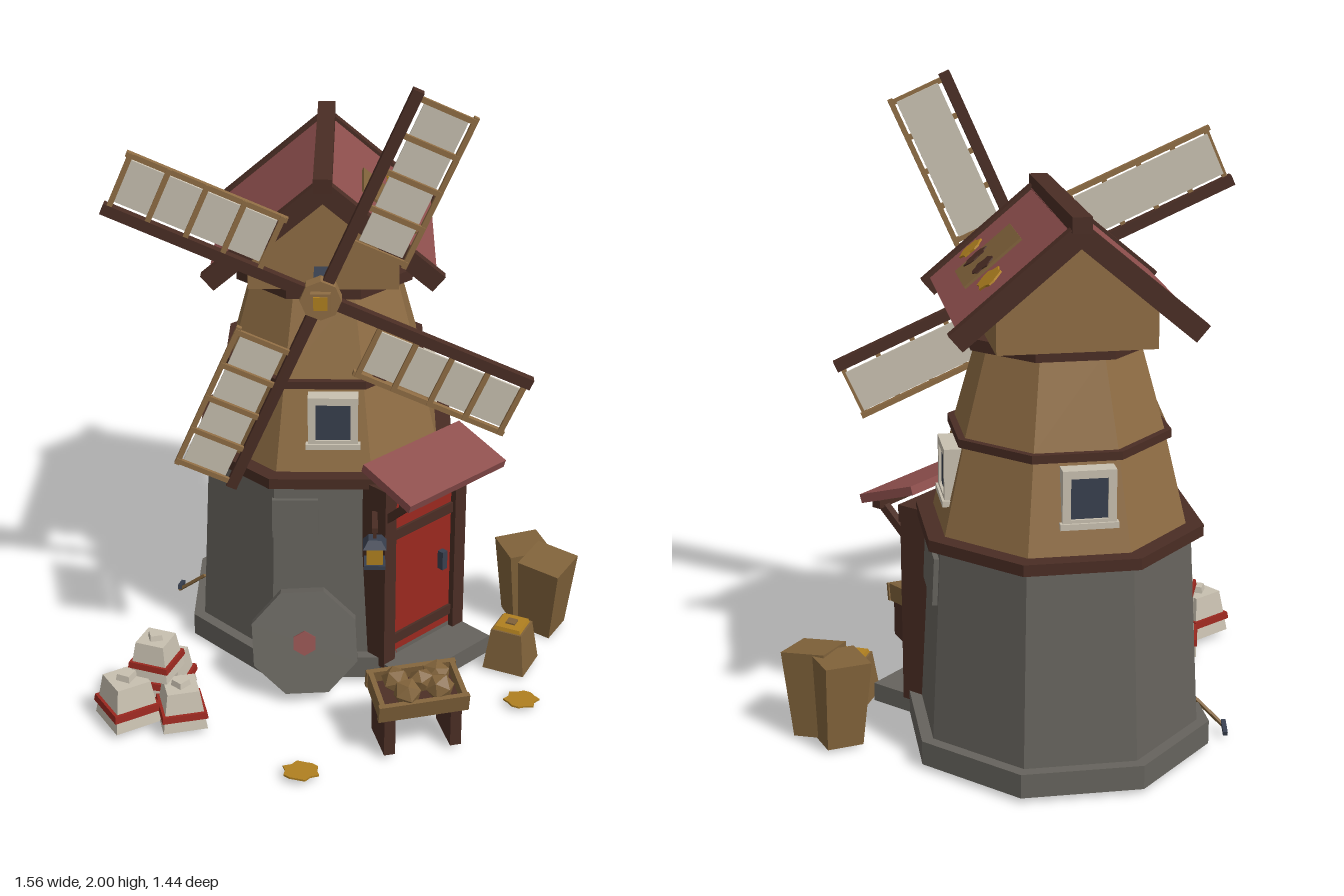
import * as THREE from 'three';

const mat = (name, color) => {
  const m = new THREE.MeshStandardMaterial({ color });
  m.name = name;
  return m;
};

export function createModel() {
  const stone = mat('stone', 0x66635d), timber = mat('timber', 0x8f6d44), dark = mat('darkWood', 0x4a2d24);
  const roofRed = mat('roofShingle', 0x8e4f4d), red = mat('doorRed', 0x9a281f), canvas = mat('canvas', 0xc8c0b0);
  const slate = mat('slate', 0x383f4e), gold = mat('gold', 0xb08020), tan = mat('tan', 0x80623a);
  stone.side = THREE.DoubleSide; // the plinth is an open shell
  const model = new THREE.Group();
  const CX = -0.07, CZ = -0.285;

  const group = (parent, name, pos = [0, 0, 0], rot = [0, 0, 0]) => {
    const g = new THREE.Group();
    g.name = name;
    g.position.set(...pos);
    g.rotation.set(...rot);
    parent.add(g);
    return g;
  };
  // every part is faceted
  const add = (parent, name, geo, material, pos = [0, 0, 0], rot = [0, 0, 0]) => {
    const flat = geo.index ? geo.toNonIndexed() : geo;
    flat.computeVertexNormals();
    const m = new THREE.Mesh(flat, material);
    m.name = name;
    m.position.set(...pos);
    m.rotation.set(...rot);
    parent.add(m);
    return m;
  };
  const box = (parent, name, material, size, pos, rot) =>
    add(parent, name, new THREE.BoxGeometry(...size), material, pos, rot);
  // upright prism with flat sides toward the axes; sizes are centre-to-side
  const prism = (parent, name, material, n, bottom, top, y0, y1) => {
    const k = Math.cos(Math.PI / n);
    const geo = new THREE.CylinderGeometry(top / k, bottom / k, y1 - y0, n, 1, false, Math.PI / n);
    return add(parent, name, geo, material, [0, (y0 + y1) / 2, 0]);
  };
  // beam between two points
  const beam = (parent, name, material, a, b, t) => {
    const p = new THREE.Vector3(...a), q = new THREE.Vector3(...b);
    const m = box(parent, name, material, [t, t, p.distanceTo(q)], p.clone().add(q).multiplyScalar(0.5).toArray());
    m.quaternion.setFromUnitVectors(new THREE.Vector3(0, 0, 1), q.sub(p).normalize());
    return m;
  };
  // thin ragged flake lying flat
  const flake = (parent, name, material, rx, rz, pos, seed) => {
    const pts = [];
    for (let i = 0; i < 14; i++) {
      const a = i / 14 * Math.PI * 2, r = 0.9 + 0.13 * Math.sin(i * 2.7 + seed);
      pts.push(new THREE.Vector2(Math.cos(a) * rx * r, Math.sin(a) * rz * r));
    }
    const geo = new THREE.ExtrudeGeometry(new THREE.Shape(pts), { depth: 0.006, bevelEnabled: false });
    return add(parent, name, geo.rotateX(-Math.PI / 2), material, pos);
  };

  // tower
  const tower = group(model, 'tower', [CX, 0, CZ]);
  const plinth = [[0.44, 0.015], [0.44, 0.09], [0.395, 0.09]]
    .map(([r, y]) => new THREE.Vector2(r / Math.cos(Math.PI / 8), y));
  add(tower, 'plinth', new THREE.LatheGeometry(plinth, 8, Math.PI / 8), stone);
  for (const [name, m, bottom, top, y0, y1] of [
    ['stoneWall', stone, 0.405, 0.375, 0.085, 0.69],
    ['stoneRim', dark, 0.41, 0.41, 0.69, 0.725], ['lowerTimberWall', timber, 0.36, 0.298, 0.725, 1.0],
    ['middleBand', dark, 0.315, 0.315, 0.99, 1.015], ['upperTimberWall', timber, 0.295, 0.225, 1.015, 1.28],
    ['topBand', dark, 0.275, 0.275, 1.275, 1.31]]) prism(tower, name, m, 8, bottom, top, y0, y1);

  // upright windows on the front, +x and back walls
  for (const a of [0, Math.PI / 2, Math.PI]) {
    const side = group(tower, 'windowSide', [0, 0, 0], [0, a, 0]);
    const w = group(side, 'window', [0.029, 0.892, 0.325]);
    for (const s of [-1, 1]) {
      box(w, 'windowJamb', canvas, [0.024, 0.17, 0.06], [s * 0.066, 0, 0]);
      box(w, 'windowRail', canvas, [0.156, 0.024, 0.06], [0, s * 0.073, 0]);
    }
    box(w, 'windowSill', canvas, [0.17, 0.018, 0.07], [0, -0.08, 0.002]);
    box(w, 'windowGlass', slate, [0.11, 0.125, 0.04], [0, 0, 0.002]);
  }
  // raised stones
  for (const [a, x, y, w, h] of [[0, -0.09, 0.575, 0.145, 0.13], [Math.PI / 2, 0.025, 0.58, 0.235, 0.145]]) {
    const side = group(tower, 'stoneSide', [0, 0, 0], [0, a, 0]);
    box(side, 'raisedStone', stone, [w, h, 0.03], [x, y, 0.381], [-0.05, 0, 0]);
  }

  // cap and roof
  const cap = group(model, 'cap', [CX, 0, 0]);
  const gable = new THREE.Shape([[-0.23, 1.31], [0.23, 1.31], [0.23, 1.43], [0, 1.625], [-0.23, 1.43]]
    .map(p => new THREE.Vector2(...p)));
  add(cap, 'gableHousing', new THREE.ExtrudeGeometry(gable, { depth: 0.59, bevelEnabled: false }), timber, [0, 0, -0.595]);
  const slope = 0.7;
  for (const s of [-1, 1]) {
    const r = group(cap, 'roofSlope', [0, 1.69, 0], [0, 0, -s * slope]);
    box(r, 'roofPanel', roofRed, [0.455, 0.035, 0.645], [s * 0.2275, -0.028, -0.2825]);
    for (const z of [0.0525, -0.6175]) box(r, 'bargeBoard', dark, [0.48, 0.06, 0.035], [s * 0.24, -0.03, z]);
    if (s > 0) {
      // patch and fallen leaves on the +x slope
      box(r, 'roofPatch', tan, [0.215, 0.009, 0.205], [0.268, -0.007, -0.235]);
      flake(r, 'patchHole', dark, 0.045, 0.028, [0.3, -0.005, -0.165], 1);
      flake(r, 'patchHole', dark, 0.042, 0.04, [0.295, -0.005, -0.293], 3);
      flake(r, 'roofLeaf', gold, 0.043, 0.04, [0.3, -0.01, -0.035], 2);
      flake(r, 'roofLeaf', gold, 0.045, 0.058, [0.3, -0.01, -0.43], 5);
    }
  }
  box(cap, 'ridgeBeam', dark, [0.056, 0.045, 0.73], [0, 1.675, -0.2825], [0.014, 0, 0]);

  // sails
  const mill = group(model, 'sails', [-0.074, 1.36, 0.175]);
  box(mill, 'sailShaft', slate, [0.048, 0.048, 0.2], [0, 0, -0.1]);
  add(mill, 'hub', new THREE.CylinderGeometry(0.062, 0.062, 0.05, 8).rotateX(Math.PI / 2), timber, [0, 0, 0.005]);
  box(mill, 'hubBlock', timber, [0.06, 0.06, 0.07], [0, 0, 0.015]);
  box(mill, 'hubCap', gold, [0.042, 0.042, 0.01], [0, 0, 0.05]);
  for (let i = 0; i < 4; i++) {
    const s = group(mill, 'sail', [0, 0, 0], [0, 0, 1.155 + i * Math.PI / 2]);
    box(s, 'sailArm', dark, [0.69, 0.034, 0.03], [0.345, 0, 0]);
    box(s, 'sailCanvas', canvas, [0.46, 0.138, 0.008], [0.44, -0.099, -0.004]);
    box(s, 'sailRail', timber, [0.5, 0.016, 0.018], [0.435, -0.183, 0.002]);
    for (let j = 0; j < 5; j++) box(s, 'sailSlat', timber, [0.016, 0.19, 0.012], [0.2 + j * 0.118, -0.095, 0.008]);
  }

  // doorway on the diagonal wall
  const door = group(model, 'doorway', [CX, 0, CZ], [0, Math.PI / 4, 0]);
  box(door, 'doorStep', stone, [0.37, 0.06, 0.165], [0, 0.045, 0.5]);
  box(door, 'doorPanel', red, [0.28, 0.62, 0.07], [0, 0.37, 0.405]);
  for (const y of [0.14, 0.525]) box(door, 'doorStrap', dark, [0.28, 0.035, 0.012], [0, y, 0.443]);
  box(door, 'doorHandle', slate, [0.022, 0.065, 0.025], [0.09, 0.35, 0.45]);
  box(door, 'lintel', dark, [0.38, 0.055, 0.1], [0, 0.68, 0.415]);
  box(door, 'porchRoof', roofRed, [0.435, 0.028, 0.215], [0, 0.742, 0.49], [0.32, 0, 0]);
  box(door, 'porchBeam', dark, [0.4, 0.025, 0.03], [0, 0.695, 0.545]);
  for (const s of [-1, 1]) {
    box(door, 'doorPost', dark, [0.05, 0.645, 0.1], [s * 0.162, 0.3825, 0.41]);
    beam(door, 'porchBrace', dark, [s * 0.165, 0.6, 0.45], [s * 0.165, 0.7, 0.56], 0.025);
  }

  // hanging lantern
  const lantern = group(model, 'lantern', [0.09, 0, 0.24]);
  box(lantern, 'lanternArm', dark, [0.018, 0.016, 0.11], [0, 0.615, -0.045]);
  box(lantern, 'lanternHook', dark, [0.01, 0.04, 0.01], [0, 0.595, 0]);
  prism(lantern, 'lanternRoof', slate, 4, 0.036, 0.02, 0.56, 0.585);
  prism(lantern, 'lanternLight', gold, 4, 0.025, 0.025, 0.5, 0.56);
  prism(lantern, 'lanternBase', slate, 4, 0.033, 0.033, 0.488, 0.502);

  // leaning millstone
  const wheel = group(model, 'millstone', [-0.13, 0.188, 0.208], [-0.3, 0, 0]);
  const disc = new THREE.CylinderGeometry(0.178, 0.178, 0.055, 8, 1, false, Math.PI / 8 + 0.05);
  add(wheel, 'stoneDisc', disc.rotateX(Math.PI / 2), stone);
  add(wheel, 'stoneHub', new THREE.CylinderGeometry(0.04, 0.04, 0.012, 6).rotateX(Math.PI / 2), roofRed, [0, 0, 0.03]);

  // flour sacks
  for (const [x, y, z, a, k] of [[-0.68, 0.02, 0.385, 0.55, 1.05], [-0.51, 0.02, 0.4, 0.25, 0.95],
    [-0.57, 0.02, 0.235, -0.25, 1], [-0.59, 0.155, 0.33, -0.35, 0.88]]) {
    const s = group(model, 'flourSack', [x, y, z], [0, a, 0]);
    s.scale.setScalar(k);
    prism(s, 'sackBody', canvas, 4, 0.073, 0.053, 0, 0.135);
    prism(s, 'sackBand', red, 4, 0.076, 0.073, 0.04, 0.062);
    prism(s, 'sackKnot', canvas, 4, 0.024, 0.02, 0.13, 0.155).rotation.y = 0.6;
  }

  // market tray with loaves
  const stall = group(model, 'stall', [0.22, 0, 0.475], [0, 0.26, 0]);
  for (const s of [-1, 1]) box(stall, 'stallLeg', dark, [0.035, 0.14, 0.15], [s * 0.105, 0.085, 0]);
  const tray = group(stall, 'tray', [0, 0.168, 0], [0.2, 0, 0]);
  box(tray, 'trayFloor', dark, [0.26, 0.02, 0.15], [0, 0, 0]);
  for (const s of [-1, 1]) {
    box(tray, 'trayLongSide', tan, [0.285, 0.06, 0.016], [0, 0.02, s * 0.076]);
    box(tray, 'trayShortSide', tan, [0.016, 0.06, 0.155], [s * 0.13, 0.02, 0]);
  }
  [[-0.065, -0.02], [-0.045, 0.04], [0.01, 0], [0.065, -0.025], [0.06, 0.035]].forEach(([x, z], i) => {
    const loaf = add(tray, 'loaf', new THREE.IcosahedronGeometry(0.046, 0), tan, [x, 0.057, z], [i, i * 1.7, 0]);
    loaf.scale.y = 0.85;
  });

  // tall grain bins and a small bin of grain
  for (const [x, z, a, leanX, leanZ] of [[0.605, -0.255, 0.3, 0, 0.04], [0.66, -0.185, -0.55, 0.1, -0.04]]) {
    const b = group(model, 'grainBin', [x, 0.01, z], [leanX, a, leanZ]);
    prism(b, 'binBody', tan, 4, 0.058, 0.074, 0, 0.272);
  }
  const tub = group(model, 'grainTub', [0.54, 0.01, 0.05], [0, -0.43, 0]);
  prism(tub, 'tubBody', tan, 4, 0.07, 0.052, 0, 0.14);
  prism(tub, 'tubGrain', gold, 4, 0.046, 0.042, 0.14, 0.152);
  prism(tub, 'tubScoop', tan, 4, 0.016, 0.016, 0.15, 0.157);

  // small tool by the plinth
  beam(model, 'toolHandle', tan, [-0.585, 0.02, -0.375], [-0.49, 0.11, -0.32], 0.01);
  beam(model, 'toolHead', slate, [-0.575, 0.02, -0.425], [-0.583, 0.035, -0.365], 0.014);

  // leaves on the ground
  flake(model, 'groundLeaf', gold, 0.057, 0.05, [0.56, 0.015, 0.28], 1);
  flake(model, 'groundLeaf', gold, 0.06, 0.05, [-0.13, 0.02, 0.67], 4);
  return model;
}
